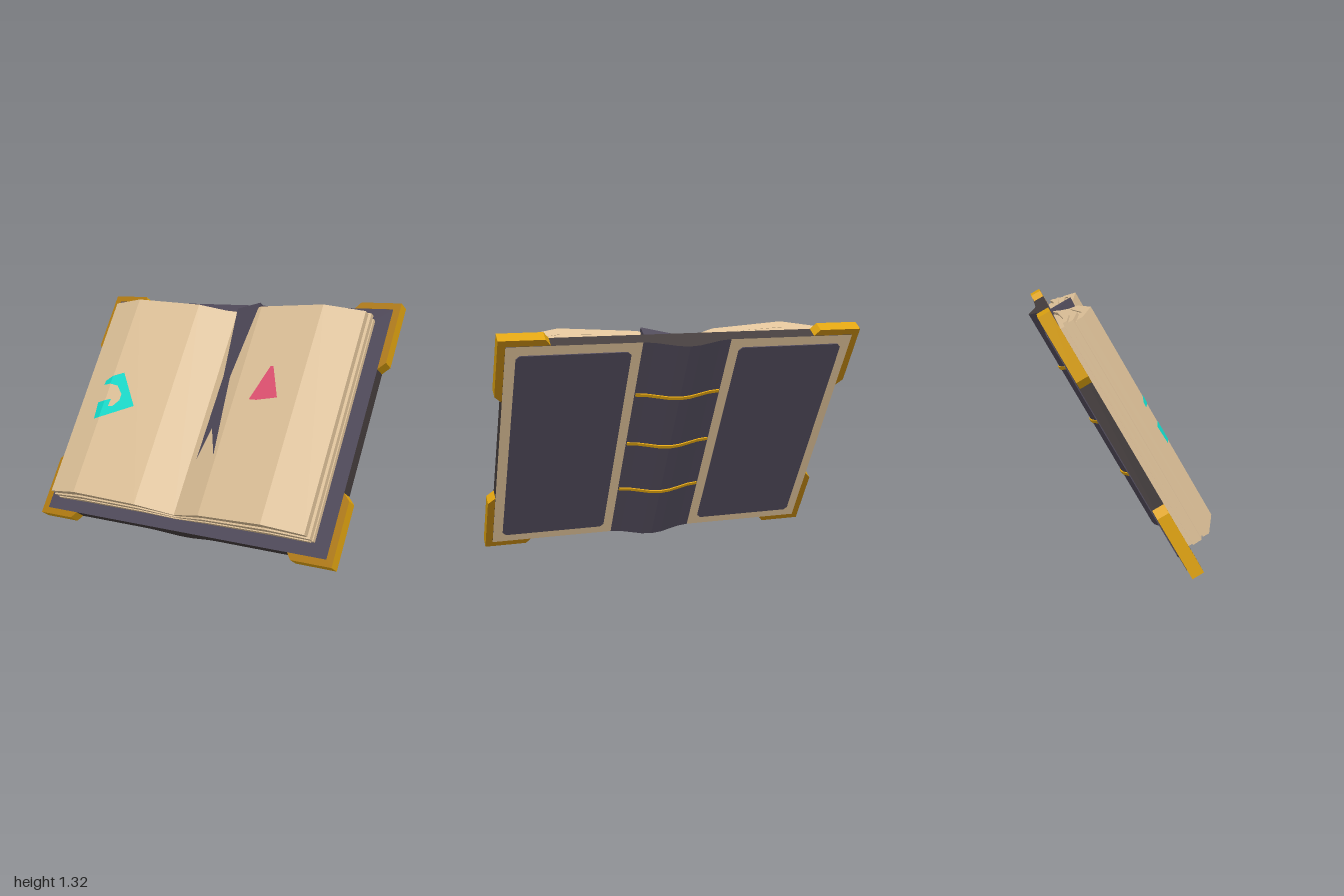
import * as THREE from 'three';

const mat = (name, color) => {
  const m = new THREE.MeshStandardMaterial({ color });
  m.name = name;
  return m;
};

// Page height (local z) across the book, mirrored about the gutter
const PROFILE = [[0, 0.378], [0.22, 0.47], [0.64, 0.516], [0.86, 0.452]];
const BASE = 0.325;
function pageHeight(x) {
  const a = Math.abs(x);
  let i = 0;
  while (i < PROFILE.length - 2 && a > PROFILE[i + 1][0]) i++;
  const [x0, z0] = PROFILE[i], [x1, z1] = PROFILE[i + 1];
  return z0 + (z1 - z0) * (a - x0) / (x1 - x0);
}

const shapeOf = pts => new THREE.Shape(pts.map(([x, y]) => new THREE.Vector2(x, y)));

// Outline in x/z, extruded along the book from y0 to y1
function extrudeAlongBook(pts, y0, y1) {
  const g = new THREE.ExtrudeGeometry(shapeOf(pts), { depth: y1 - y0, bevelEnabled: false });
  return g.rotateX(Math.PI / 2).translate(0, y1, 0);
}

// Outline in x/y, extruded along z
function plate(pts, z, depth) {
  return new THREE.ExtrudeGeometry(shapeOf(pts), { depth, bevelEnabled: false }).translate(0, 0, z);
}

// Flat outline (x, height as seen from the front) laid on the page surface
function decal(pts, lift) {
  const local = pts.map(([x, y]) => [x, (y - 0.5 * pageHeight(x)) / 0.866]);
  const g = new THREE.ShapeGeometry(shapeOf(local));
  const p = g.attributes.position;
  for (let i = 0; i < p.count; i++) p.setZ(i, pageHeight(p.getX(i)) + lift);
  g.computeVertexNormals();
  return g;
}

export function createModel() {
  const paper = mat('paper', 0xdfc299);
  const cloth = mat('cloth', 0x504a5a);
  const edge = mat('coverEdge', 0x443d3d);
  const gold = mat('gold', 0xe0a410);
  const darkGold = mat('darkGold', 0xb07a10);
  const cyan = mat('cyan', 0x12dccc);
  const pink = mat('pink', 0xe25272);
  const ribbonCloth = mat('ribbonCloth', 0x504a5a);
  ribbonCloth.side = THREE.DoubleSide;

  const model = new THREE.Group();
  const book = new THREE.Group();
  book.name = 'openBook';
  book.rotation.x = -Math.PI / 6;
  model.add(book);
  const add = (name, geometry, material) => {
    const m = new THREE.Mesh(geometry, material);
    m.name = name;
    book.add(m);
    return m;
  };

  // Cover board: cloth inside, paper outside
  const MID = 0.593, HALF = 0.708;
  add('coverBoard', new THREE.BoxGeometry(1.92, 2 * HALF, 0.068), [edge, edge, edge, edge, cloth, paper])
    .position.set(0, MID, 0.296);

  // Back panels with clipped corners
  for (const s of [-1, 1]) {
    const c = 0.02, x0 = 0.3, x1 = 0.905, h = 0.652;
    const pts = [[x0 + c, -h], [x1 - c, -h], [x1, c - h], [x1, h - c], [x1 - c, h], [x0 + c, h], [x0, h - c], [x0, c - h]];
    add('backPanel', plate(pts.map(([x, y]) => [s * x, MID + y]), 0.256, 0.006), cloth);
  }

  // Metal corner guards
  const guard = [[1, 0.745], [0.76, 0.745], [0.73, HALF], [0.96, HALF], [0.96, 0.35], [1, 0.39]];
  for (const sx of [-1, 1]) for (const sy of [-1, 1]) {
    add('cornerGuard', plate(guard.map(([x, y]) => [sx * x, MID + sy * y]), 0.265, 0.066), [darkGold, gold]);
  }

  // Rounded spine and its bands
  const arc = (w, bulge) => {
    const pts = [];
    for (let i = 0; i <= 8; i++) {
      const t = i / 4 - 1;
      pts.push([w * t, 0.262 - bulge * (0.5 + 0.5 * Math.cos(Math.PI * t))]);
    }
    return pts;
  };
  add('spine', extrudeAlongBook(arc(0.245, 0.05), MID - HALF, MID + HALF), [edge, cloth]);
  for (const y of [0.246, 0.6, 0.954]) {
    const pts = arc(0.24, 0.05).map(([x, z]) => [x, z - 0.008]);
    add('spineBand', extrudeAlongBook([[-0.24, 0.262], ...pts, [0.24, 0.262]], y - 0.009, y + 0.009), gold);
  }

  // Page block: stacked sheaves with slightly uneven edges
  const sheaves = [
    [0, 0.22, 0.872, -0.04, 1.228],
    [0.22, 0.4, 0.864, -0.05, 1.245],
    [0.4, 0.62, 0.878, -0.044, 1.236],
    [0.62, 0.72, 0.862, -0.03, 1.218],
    [0.72, 1, 0.868, -0.038, 1.224],
  ];
  for (const [f0, f1, w, y0, y1] of sheaves) {
    const row = f => {
      const half = PROFILE.map(([x, z], i) => [i === 3 ? w : x, BASE + (z - BASE) * f]);
      return [...half.slice(1).reverse().map(([x, z]) => [-x, z]), ...half];
    };
    add('pageSheaf', extrudeAlongBook([...row(f0), ...row(f1).reverse()], y0, y1), paper);
  }

  // Ribbon bookmark with a forked tail, folded over the top edge
  add('ribbon', decal([[0, 1.252], [0.2, 1.3], [0.13, 0.9], [0.2, 0.5], [0.11, 0.625], [0.055, 0.455], [0.065, 0.9]], 0.005), ribbonCloth);
  const fold = [[0, BASE + 0.005], [0.2, BASE + 0.005], [0.2, 0.466], [0, 0.383]];
  add('ribbonFold', extrudeAlongBook(fold, 1.224, 1.25), cloth);

  // Painted page marks; the hook is split where the page bends
  const hook = [
    [[-0.7, 0.81], [-0.64, 0.824], [-0.64, 0.868], [-0.695, 0.835]],
    [[-0.7, 0.71], [-0.685, 0.62], [-0.64, 0.635], [-0.64, 0.73]],
    [[-0.64, 0.635], [-0.43, 0.71], [-0.57, 0.89], [-0.64, 0.868], [-0.64, 0.824], [-0.585, 0.815], [-0.54, 0.77],
      [-0.54, 0.735], [-0.575, 0.7], [-0.605, 0.7], [-0.6, 0.74], [-0.64, 0.73]],
  ];
  for (const pts of hook) add('hookMark', decal(pts, 0.003), cyan);
  add('triangleMark', decal([[0.33, 0.802], [0.38, 0.803], [0.515, 0.827], [0.43, 0.983], [0.41, 0.98]], 0.003), pink);

  return model;
}
